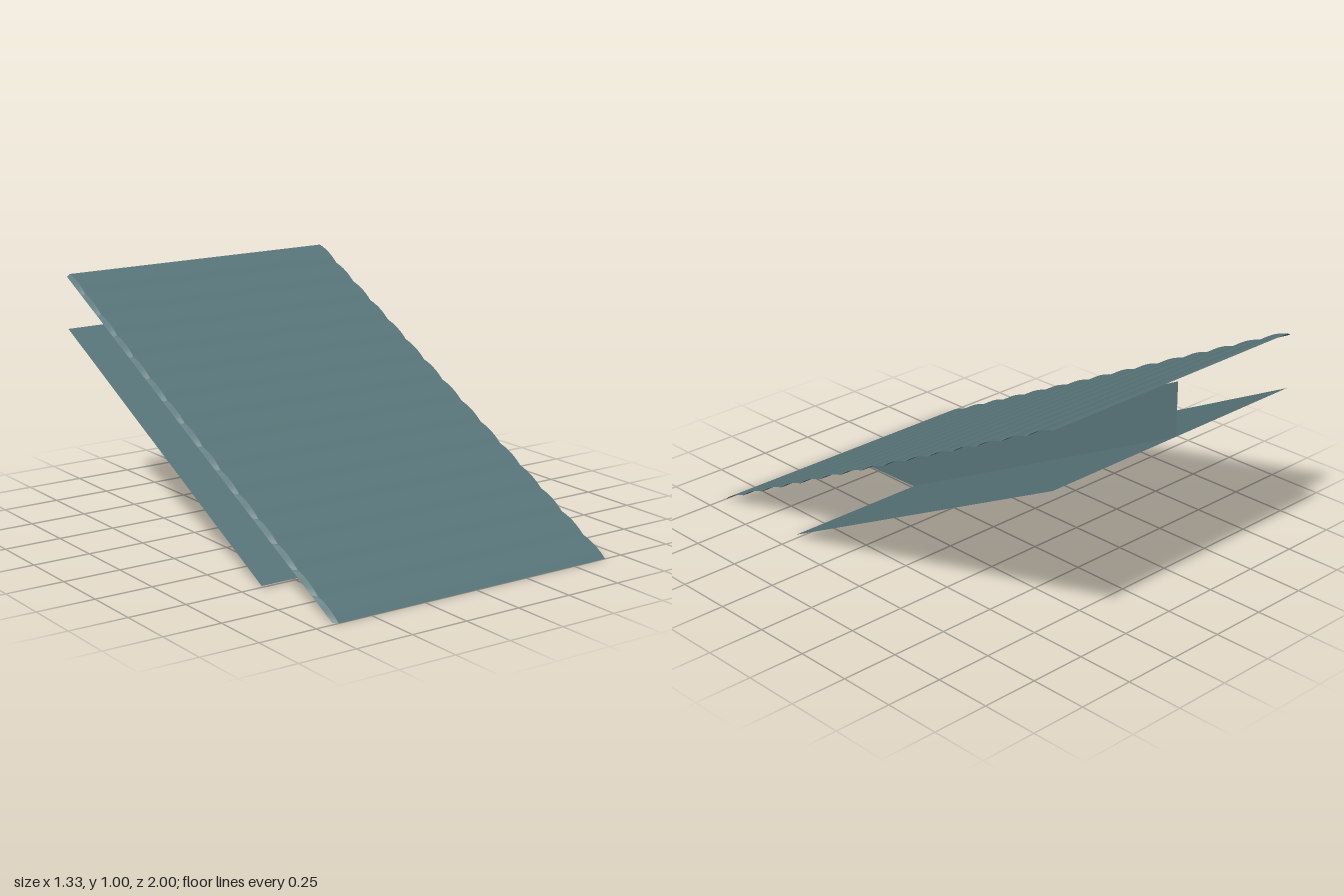
import * as THREE from 'three';

const SLATS = 15, STEPS = 8, BULGE = 0.009;
const LEFT = 0.665, RIGHT = -0.665, BEVEL = 0.015;

// Ruled surface between two rows of points, smooth along its length
function strip(rowA, rowB) {
  const pos = [], idx = [];
  rowA.forEach((a, i) => {
    pos.push(...a, ...rowB[i]);
    const k = i * 2;
    if (i < rowA.length - 1) idx.push(k, k + 1, k + 2, k + 1, k + 3, k + 2);
  });
  const g = new THREE.BufferGeometry();
  g.setAttribute('position', new THREE.Float32BufferAttribute(pos, 3));
  g.setIndex(idx);
  g.computeVertexNormals();
  return g;
}

// Point on the sloped top: t runs from the low front (0) to the high back (1)
function topPoint(t, bulge, x) {
  const n = 1 / Math.sqrt(5);
  return [x, t + bulge * 2 * n, 1 - 2 * t + bulge * n];
}

// Upper rim of the side wall, just under the slats
function rimPoint(t) {
  const s = 0.01 + t * 0.99;
  return [RIGHT, s - 0.01, 1 - 2 * s];
}

export function createModel() {
  const model = new THREE.Group();
  model.name = 'slopedSlatPanel';
  const material = new THREE.MeshStandardMaterial({ color: 0x587579, side: THREE.DoubleSide });
  const add = (name, geometry, parent = model) => {
    const mesh = new THREE.Mesh(geometry, material);
    mesh.name = name;
    parent.add(mesh);
  };

  // Gently bowed slats, each with a bevelled end meeting the wall
  const slats = new THREE.Group();
  slats.name = 'slats';
  model.add(slats);
  for (let s = 0; s < SLATS; s++) {
    const rim = [], inner = [], outer = [];
    for (let i = 0; i <= STEPS; i++) {
      const u = i / STEPS, t = (s + u) / SLATS;
      const bulge = BULGE * 4 * u * (1 - u);
      rim.push(rimPoint(t));
      inner.push(topPoint(t, bulge, RIGHT + BEVEL));
      outer.push(topPoint(t, bulge, LEFT));
    }
    add('slat', strip(inner, outer), slats);
    add('slatEndBevel', strip(rim, inner), slats);
  }

  // Single side wall, drawn in z and y
  const wall = new THREE.Shape([
    [0.98, 0], [-1, 0.99], [-1, 0.76], [0.51, 0.01], [0.8, 0.005], [0.8, 0],
  ].map(([z, y]) => new THREE.Vector2(z, y)));
  add('sideWall', new THREE.ShapeGeometry(wall).rotateY(-Math.PI / 2));

  // Flat sheet underneath, parallel to the slats
  const edge = x => [[x, 0.01, 0.51], [x, 0.76, -1]];
  add('lowerSheet', strip(edge(LEFT), edge(RIGHT)));

  return model;
}
